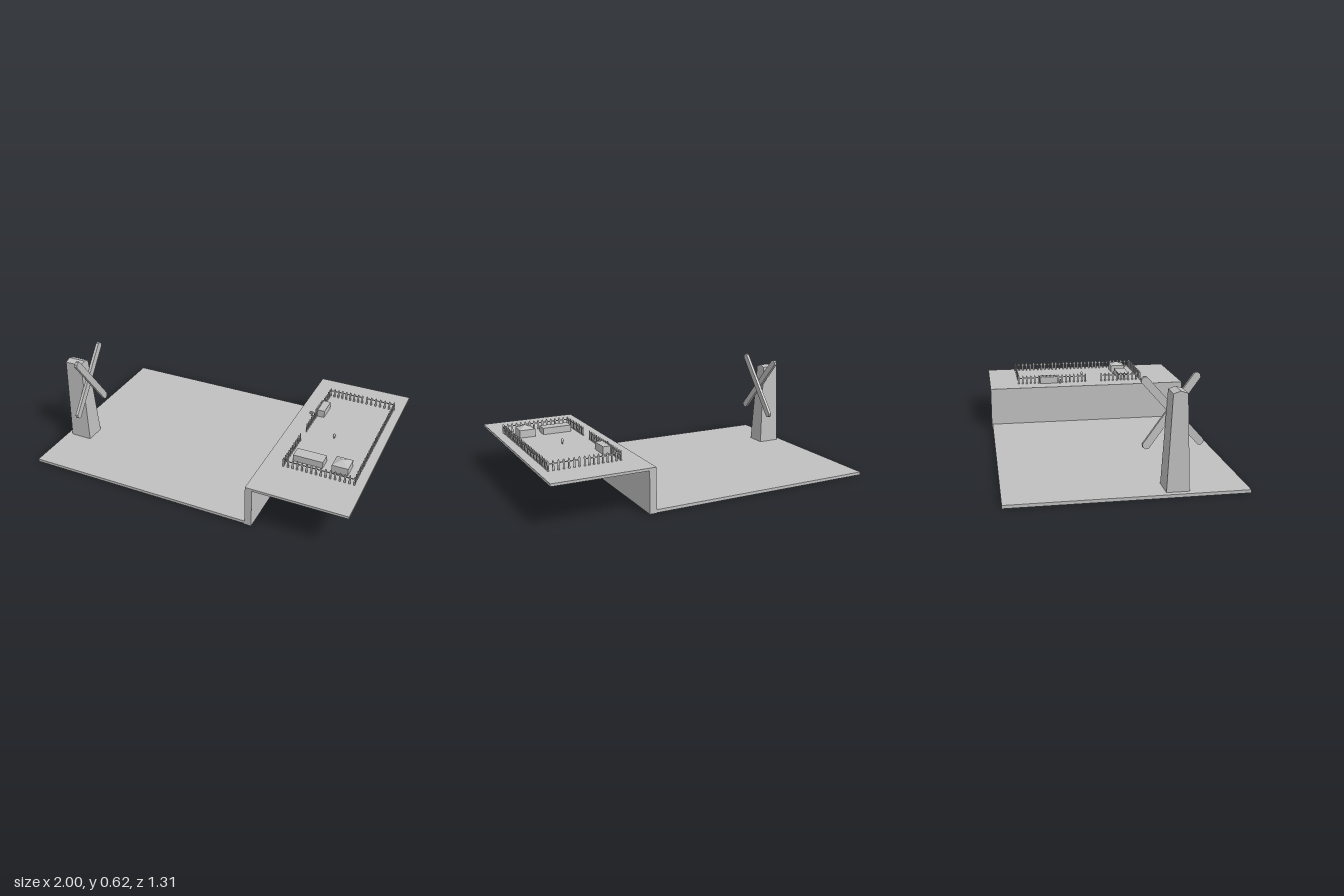
import * as THREE from 'three';
import { mergeGeometries } from 'three/addons/utils/BufferGeometryUtils.js';
import { ConvexGeometry } from 'three/addons/geometries/ConvexGeometry.js';

const V = (x, y, z) => new THREE.Vector3(x, y, z);

export function createModel() {
  const model = new THREE.Group();
  const grey = new THREE.MeshStandardMaterial({ color: 0xc0c0c0 });
  grey.name = 'plain grey';
  const DECK = 0.26;

  function add(name, geometry, parent = model) {
    const mesh = new THREE.Mesh(geometry, grey);
    mesh.name = name;
    parent.add(mesh);
    return mesh;
  }
  // Box given by its lowest and highest corners
  function block(name, x0, y0, z0, x1, y1, z1, parent) {
    const g = new THREE.BoxGeometry(x1 - x0, y1 - y0, z1 - z0);
    g.translate((x0 + x1) / 2, (y0 + y1) / 2, (z0 + z1) / 2);
    return add(name, g, parent);
  }
  // Flat outline extruded and centred on its thickness
  function plate(points, thickness) {
    const shape = new THREE.Shape(points.map(([x, y]) => new THREE.Vector2(x, y)));
    const g = new THREE.ExtrudeGeometry(shape, { depth: thickness, bevelEnabled: false });
    return g.translate(0, 0, -thickness / 2);
  }

  // Stepped terrain
  block('lowerGround', -1, 0, -0.65, 0.411, 0.018, 0.65);
  block('cliffWall', 0.411, 0, -0.655, 0.452, 0.245, 0.655);
  block('upperGround', 0.411, 0.245, -0.655, 1, DECK, 0.655);

  // Windmill tower: tapered, with a low ridge along x
  const windmill = new THREE.Group();
  windmill.name = 'windmill';
  model.add(windmill);
  const towerPoints = [];
  for (const z of [0.2, 0.325]) towerPoints.push(V(-0.968, 0.016, z), V(-0.832, 0.016, z));
  for (const z of [0.225, 0.303]) towerPoints.push(V(-0.966, 0.545, z), V(-0.856, 0.545, z));
  towerPoints.push(V(-0.966, 0.558, 0.264), V(-0.856, 0.558, 0.264));
  add('tower', new ConvexGeometry(towerPoints), windmill);

  // Crossed sails with chamfered ends
  function sail(name, bottom, top) {
    const h = bottom.distanceTo(top) / 2, w = 0.021, c = 0.012;
    const g = plate([[-w, c - h], [c - w, -h], [w - c, -h], [w, c - h],
      [w, h - c], [w - c, h], [c - w, h], [-w, h - c]], 0.018);
    const along = top.clone().sub(bottom).normalize();
    const across = along.clone().cross(V(1, 0, 0)).normalize();
    const normal = across.clone().cross(along);
    g.applyMatrix4(new THREE.Matrix4().makeBasis(across, along, normal));
    const mid = bottom.clone().add(top).multiplyScalar(0.5);
    add(name, g.translate(mid.x, mid.y, mid.z), windmill);
  }
  sail('outerSail', V(-0.834, 0.222, 0.107), V(-0.818, 0.614, 0.397));
  sail('innerSail', V(-0.836, 0.235, 0.42), V(-0.853, 0.607, 0.09));

  // Picket fence runs
  function fence(name, x0, z0, x1, z1) {
    const length = Math.hypot(x1 - x0, z1 - z0);
    const count = Math.max(1, Math.round(length / 0.0275));
    const parts = [];
    for (let i = 0; i <= count; i++) {
      const picket = plate([[-0.005, 0], [0.005, 0], [0.005, 0.05], [0, 0.058], [-0.005, 0.05]], 0.004);
      parts.push(picket.translate((i / count) * length, 0, 0));
    }
    const rail = new THREE.ExtrudeGeometry(
      new THREE.Shape([new THREE.Vector2(0, 0.037), new THREE.Vector2(length, 0.037),
        new THREE.Vector2(length, 0.043), new THREE.Vector2(0, 0.043)]),
      { depth: 0.003, bevelEnabled: false });
    parts.push(rail);
    const run = add(name, mergeGeometries(parts));
    run.position.set(x0, DECK, z0);
    run.rotation.y = -Math.atan2(z1 - z0, x1 - x0);
  }
  fence('frontFence', 0.53, 0.385, 0.945, 0.385);
  fence('leftFence', 0.945, 0.385, 0.945, -0.46);
  fence('backFenceLeft', 0.945, -0.46, 0.77, -0.46);
  fence('backFenceRight', 0.74, -0.46, 0.53, -0.46);
  fence('rightFenceBack', 0.53, -0.46, 0.53, 0);
  fence('rightFenceFront', 0.53, 0.11, 0.53, 0.385);

  // Blocks inside the yard
  block('longShed', 0.56, DECK, 0.238, 0.738, 0.3, 0.313);
  block('sideShed', 0.517, DECK, -0.315, 0.575, 0.305, -0.195);

  // Hut with a shallow pointed roof
  const hutPoints = [V(0.84, 0.328, 0.275)];
  for (const x of [0.792, 0.888])
    for (const z of [0.227, 0.323]) hutPoints.push(V(x, DECK, z), V(x, 0.306, z));
  add('hut', new ConvexGeometry(hutPoints));

  // Letter box on a thin post outside the fence
  block('letterBoxPost', 0.497, DECK, -0.183, 0.503, 0.282, -0.177);
  block('letterBox', 0.486, 0.28, -0.185, 0.508, 0.291, -0.174);

  // Small teardrop figure in the middle of the yard
  const profile = [[0, 0], [0.004, 0], [0.005, 0.01], [0.009, 0.018], [0.008, 0.026], [0, 0.034]];
  const figure = add('yardFigure',
    new THREE.LatheGeometry(profile.map(([r, y]) => new THREE.Vector2(r, y)), 12));
  figure.position.set(0.703, DECK, -0.003);

  return model;
}
